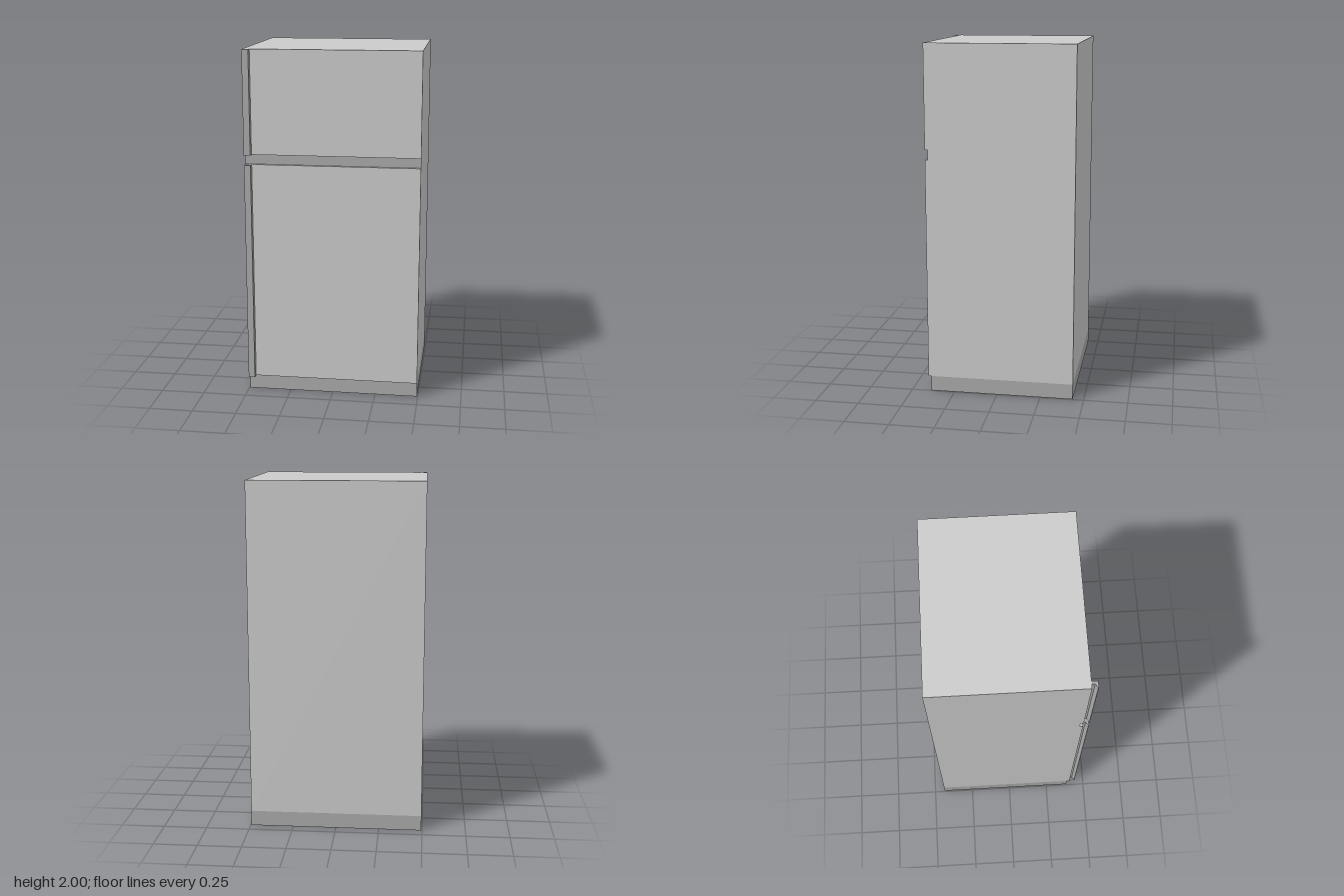
import * as THREE from 'three';

export function createModel() {
  const model = new THREE.Group();
  const light = new THREE.MeshStandardMaterial({ color: 0xcccccc });
  const dark = new THREE.MeshStandardMaterial({ color: 0xaaaaaa });

  const halfWidth = 0.495, back = -0.437, front = 0.403, recess = 0.386;
  const baseTop = 0.088, gapLow = 1.357, gapHigh = 1.413, top = 2;

  const add = (name, geometry, material) => {
    const mesh = new THREE.Mesh(geometry, material);
    mesh.name = name;
    model.add(mesh);
    return mesh;
  };
  const shapeOf = (points) => new THREE.Shape(points.map(([x, y]) => new THREE.Vector2(x, y)));
  const extrude = (points, depth) =>
    new THREE.ExtrudeGeometry(shapeOf(points), { depth, bevelEnabled: false });

  // Cabinet with both doors: side profile (-z, y) notched between the doors
  const cabinet = extrude([
    [-back, baseTop], [-back, top], [-front, top], [-front, gapHigh],
    [-recess, gapHigh], [-recess, gapLow], [-front, gapLow], [-front, baseTop],
  ], halfWidth * 2);
  cabinet.rotateY(Math.PI / 2).translate(-halfWidth, 0, 0);
  add('cabinet', cabinet, light);

  // Dark strip at the back of the gap between the doors
  add('doorGapStrip', new THREE.PlaneGeometry(halfWidth * 2, gapHigh - gapLow), dark)
    .position.set(0, (gapLow + gapHigh) / 2, recess + 0.001);

  // Plinth, set back from the doors
  add('plinth', new THREE.BoxGeometry(halfWidth * 2, baseTop, recess - back), dark)
    .position.set(0, baseTop / 2, (recess + back) / 2);

  // Full-height grip on each door: hooked section (x, -z) extruded upwards
  const grip = [
    [-0.455, -front], [-0.455, -0.437], [-0.492, -0.437],
    [-0.492, -0.434], [-0.471, -0.42], [-0.471, -front],
  ];
  for (const [name, low, high] of [
    ['lowerDoorHandle', baseTop, gapLow],
    ['upperDoorHandle', gapHigh, top],
  ]) {
    const handle = extrude(grip, high - low);
    handle.rotateX(-Math.PI / 2).translate(0, low, 0);
    add(name, handle, dark);
  }

  // The section's y turns into -z, so the grips stand in front of the doors
  return model;
}
